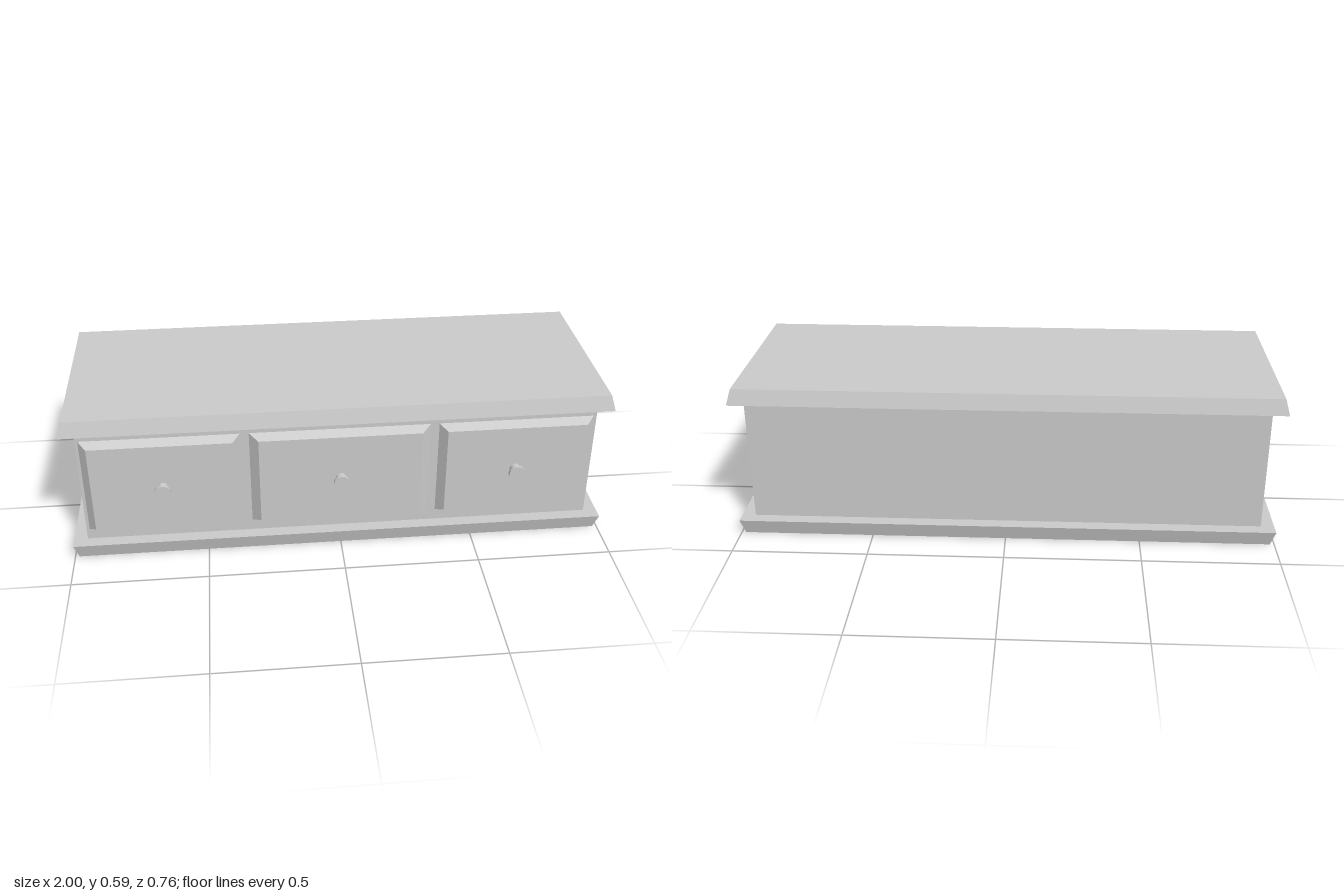
import * as THREE from 'three';

const material = new THREE.MeshStandardMaterial({ color: 0xcccccc });

// Block whose lower and upper rectangles differ in size: w x d, stacked along y
function taperedBlock(w0, d0, w1, d1, height) {
  const geo = new THREE.BoxGeometry(1, height, 1);
  const p = geo.attributes.position;
  for (let i = 0; i < p.count; i++) {
    const upper = p.getY(i) > 0;
    p.setX(i, p.getX(i) * (upper ? w1 : w0));
    p.setZ(i, p.getZ(i) * (upper ? d1 : d0));
  }
  geo.computeVertexNormals();
  return geo;
}

function add(parent, name, geo, x, y, z) {
  const mesh = new THREE.Mesh(geo, material);
  mesh.name = name;
  mesh.position.set(x, y, z);
  parent.add(mesh);
  return mesh;
}

// Drawer front with bevelled edges and a round knob
function createDrawer(name, x, width) {
  const drawer = new THREE.Group();
  drawer.name = name;
  drawer.position.set(x, 0.294, 0.304);
  const height = 0.385, taper = 0.9;

  const panel = taperedBlock(width, height, width * taper, height * taper, 0.032);
  panel.rotateX(Math.PI / 2);
  add(drawer, 'drawerFront', panel, 0, 0, 0.016);

  const stem = new THREE.CylinderGeometry(0.019, 0.019, 0.032, 32).rotateX(Math.PI / 2);
  add(drawer, 'knobStem', stem, 0, 0, 0.047);
  const cap = new THREE.CylinderGeometry(0.03, 0.03, 0.012, 32).rotateX(Math.PI / 2);
  add(drawer, 'knobCap', cap, 0, 0, 0.068);
  return drawer;
}

export function createModel() {
  const model = new THREE.Group();
  model.name = 'drawerChest';
  const z = -0.013;

  // Flared base, plain body and tapered top
  add(model, 'base', taperedBlock(1.968, 0.698, 2, 0.73, 0.058), 0, 0.029, z);
  add(model, 'body', new THREE.BoxGeometry(1.9, 0.472, 0.635), 0, 0.294, z);
  add(model, 'top', taperedBlock(2, 0.73, 1.968, 0.698, 0.058), 0, 0.559, z);

  // Three drawers across the front
  model.add(createDrawer('middleDrawer', 0, 0.664));
  model.add(createDrawer('leftDrawer', 0.651, 0.576));
  model.add(createDrawer('rightDrawer', -0.651, 0.576));
  return model;
}
